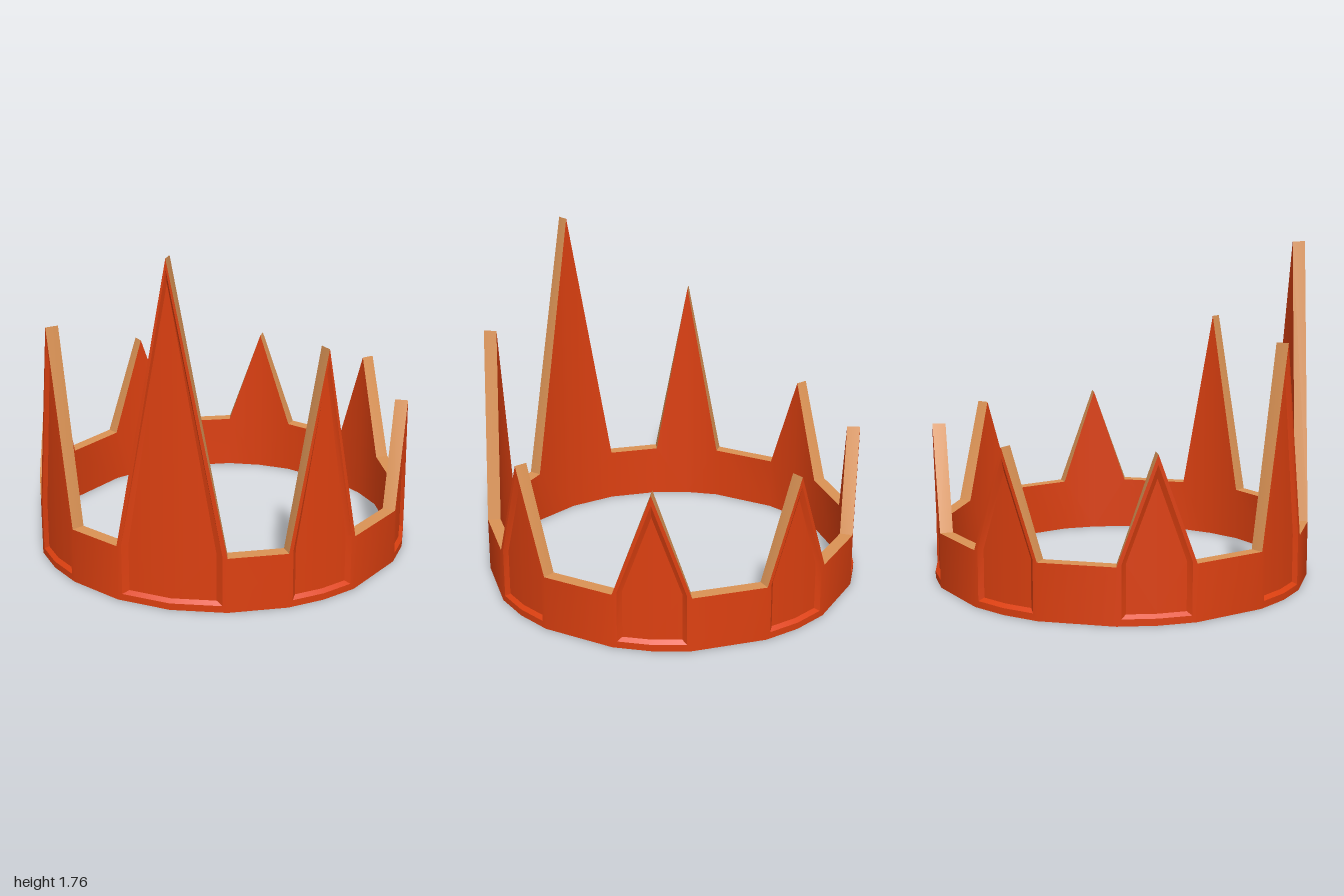
import * as THREE from 'three';
import { toCreasedNormals } from 'three/addons/utils/BufferGeometryUtils.js';

const OUTER = 1, INNER = 0.932, RECESS = 0.02, BAND = 0.29;
const DEG = Math.PI / 180;

// Point on a cylinder; theta 0 faces +z
const polar = (theta, y, r) => new THREE.Vector3(Math.sin(theta) * r, y, Math.cos(theta) * r);

// Collects quads into one mesh
class Part {
  constructor(name, material) { this.name = name; this.material = material; this.data = []; }
  quad(a, b, c, d, flip = false) {
    const order = flip ? [a, d, c, a, c, b] : [a, b, c, a, c, d];
    order.forEach(p => this.data.push(p.x, p.y, p.z));
  }
  mesh() {
    const g = new THREE.BufferGeometry();
    g.setAttribute('position', new THREE.Float32BufferAttribute(this.data, 3));
    const m = new THREE.Mesh(toCreasedNormals(g, 21 * DEG), this.material);
    m.name = this.name;
    return m;
  }
}

export function createModel() {
  const red = new THREE.MeshStandardMaterial({ color: 0xdd4010 });
  red.name = 'orangeRed';
  const tan = new THREE.MeshStandardMaterial({ color: 0xdb9355 });
  tan.name = 'tan';

  const shell = new Part('outerBand', red);
  const inside = new Part('innerWall', red);
  const bevels = new Part('panelBevels', red);
  const panels = new Part('recessedPanels', red);
  const base = new Part('bottomEdge', red);
  const rim = new Part('topRim', tan);

  // Eight spikes: tall front, medium front diagonals, five short ones
  const heights = [1.76, 1.3, 0.83, 0.83, 0.83, 0.83, 0.83, 1.3];
  const spikes = heights.map((h, i) => ({
    angle: i * 45 * DEG, h, half: (i === 0 ? 16.3 : 11.3) * DEG, big: i === 0,
  }));

  for (const { angle, h, half, big } of spikes) {
    const a = big ? 0.91 : 0.88, b = big ? 0.81 : 0.77;
    const outline = [[0, 0], [1, 0], [1, BAND], [0, h]];
    const frame = [[0, 0.035], [a, 0.035], [a, 0.3], [0, h - 0.05]];
    const face = [[0, 0.053], [b, 0.053], [b, 0.3], [0, h - 0.12]];

    for (const side of [1, -1]) {
      const flip = side < 0;
      const place = (points, r) => points.map(([s, y]) =>
        polar(angle, y, r).lerp(polar(angle + side * half, y, r), s));
      const o = place(outline, OUTER), n = place(outline, INNER);
      const f = place(frame, OUTER), p = place(face, OUTER - RECESS);

      // Raised border, sloping bevel and sunken panel
      for (let i = 0; i < 3; i++) {
        shell.quad(o[i], o[i + 1], f[i + 1], f[i], flip);
        bevels.quad(f[i], f[i + 1], p[i + 1], p[i], flip);
      }
      panels.quad(...p, flip);
      inside.quad(...n, !flip);
      rim.quad(o[2], n[2], n[3], o[3], flip);
      base.quad(o[0], n[0], n[1], o[1], flip);
    }
  }

  // Low band sections between the spikes
  spikes.forEach((s, i) => {
    const next = spikes[(i + 1) % 8];
    const t0 = s.angle + s.half, t1 = (i + 1) * 45 * DEG - next.half;
    const corners = r => [polar(t0, 0, r), polar(t1, 0, r), polar(t1, BAND, r), polar(t0, BAND, r)];
    const o = corners(OUTER), n = corners(INNER);
    shell.quad(...o);
    inside.quad(...n, true);
    rim.quad(o[3], o[2], n[2], n[3]);
    base.quad(o[0], n[0], n[1], o[1]);
  });

  const crown = new THREE.Group();
  crown.name = 'crown';
  [shell, inside, bevels, panels, base, rim].forEach(part => crown.add(part.mesh()));
  return crown;
}
